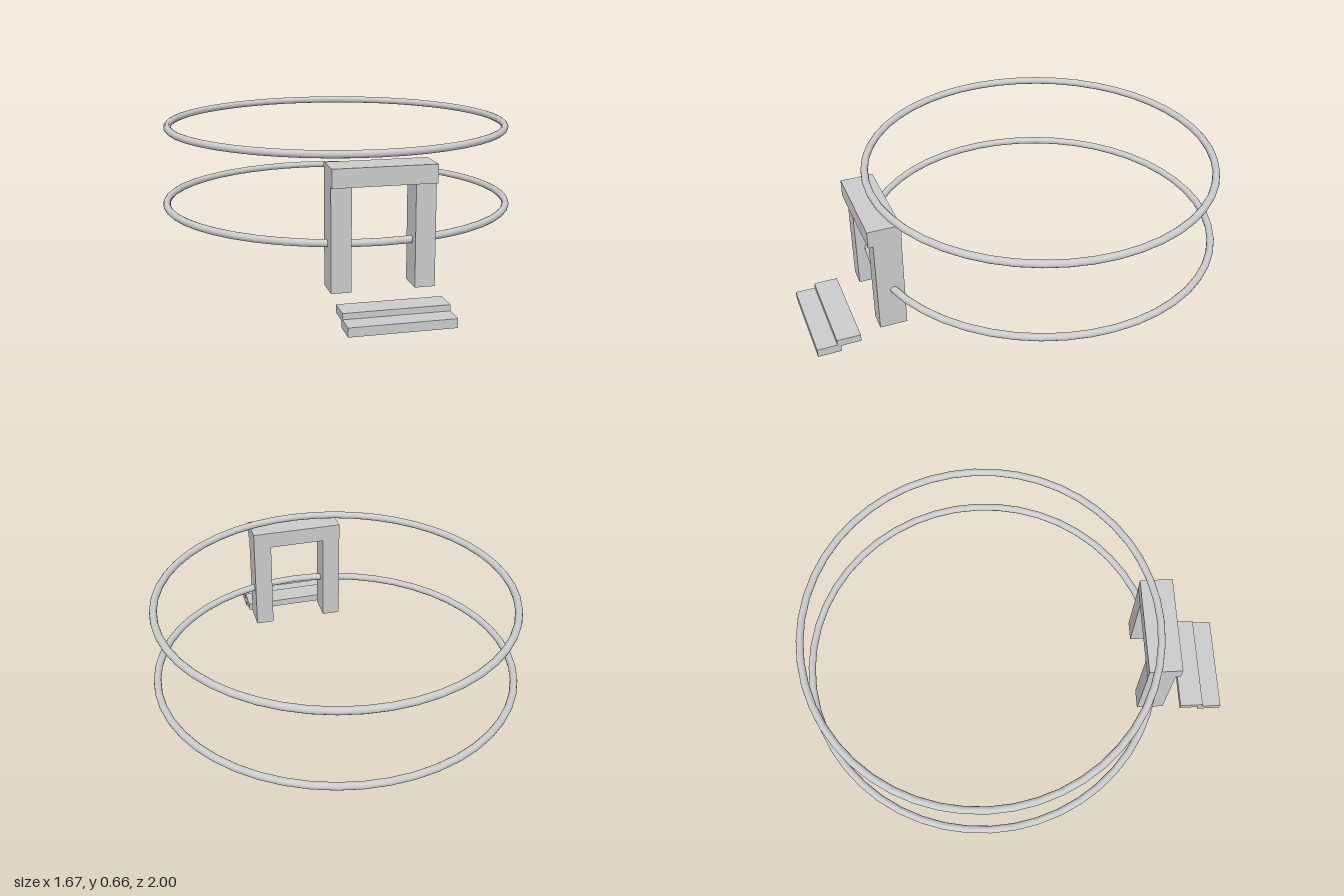
import * as THREE from 'three';

export function createModel() {
  const model = new THREE.Group();
  const material = new THREE.MeshStandardMaterial({ color: 0xcccccc });

  const add = (name, geometry, x, y, z) => {
    const mesh = new THREE.Mesh(geometry, material);
    mesh.name = name;
    mesh.position.set(x, y, z);
    model.add(mesh);
  };

  // Box given by its extents along each axis
  const block = (name, [x0, x1], [y0, y1], [z0, z1]) =>
    add(name, new THREE.BoxGeometry(x1 - x0, y1 - y0, z1 - z0),
      (x0 + x1) / 2, (y0 + y1) / 2, (z0 + z1) / 2);

  // Horizontal ring
  const ring = (name, radius, y) =>
    add(name, new THREE.TorusGeometry(radius, 0.017, 12, 48).rotateX(Math.PI / 2), 0, y, -0.16);

  ring('lowerRing', 0.82, 0.273);
  ring('upperRing', 0.806, 0.644);

  // Gateway: two posts and a lintel that overhangs to the front
  const half = 0.223;
  block('leftPost', [0.136, half], [0.078, 0.525], [0.58, 0.706]);
  block('rightPost', [-half, -0.136], [0.078, 0.525], [0.58, 0.706]);
  block('lintel', [-half, half], [0.525, 0.605], [0.578, 0.728]);

  // Two overlapping steps in front of the gateway
  block('lowerStep', [-half, half], [0, 0.039], [0.89, 1]);
  block('upperStep', [-half, half], [0.03, 0.065], [0.798, 0.908]);

  return model;
}
